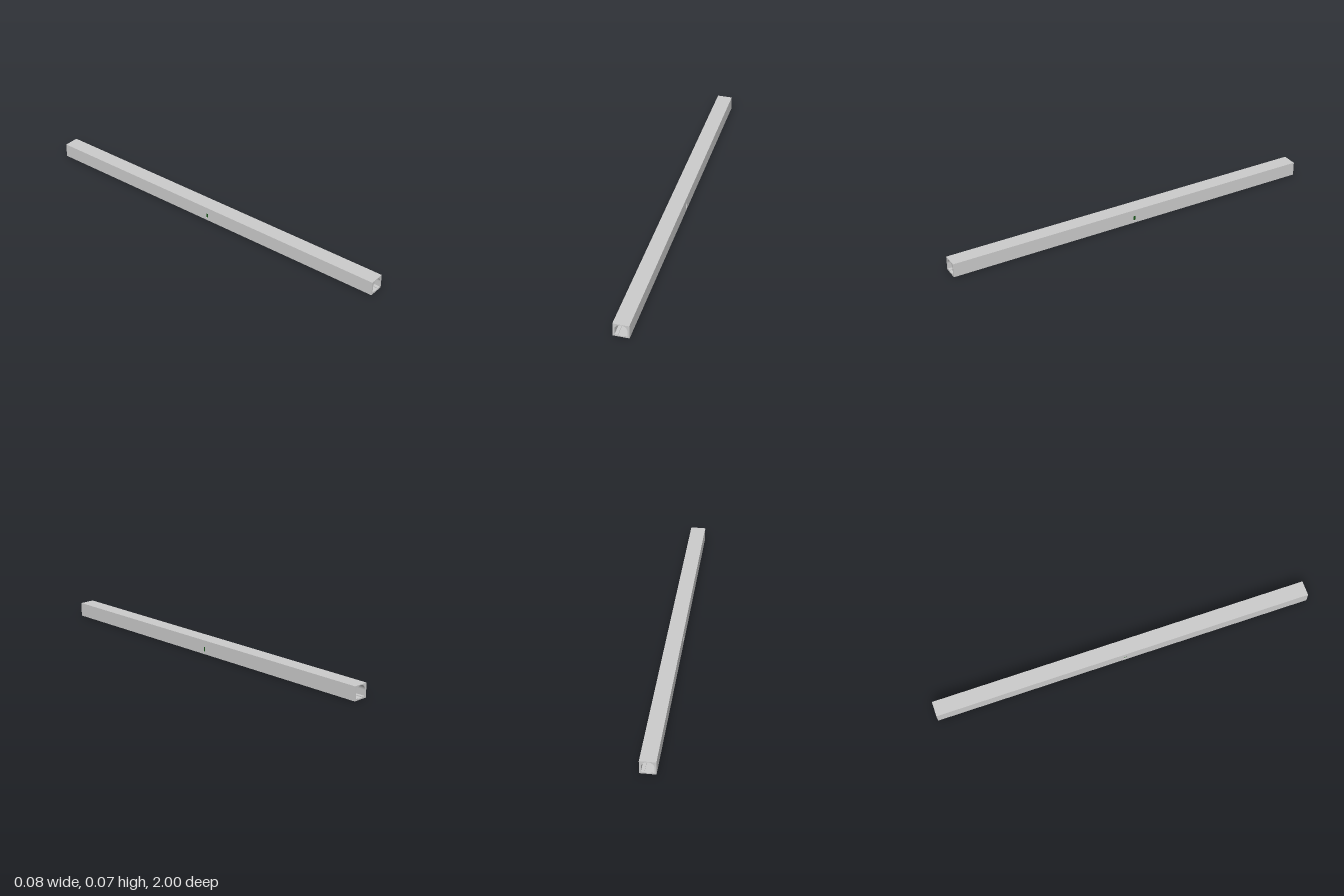
import * as THREE from 'three';

const HALF = 1, W = 0.04, H = 0.073;        // half length, outer half width, height
const R = 0.0312, SPRING = 0.0388;          // bore radius and height where the arch starts
const WALK = 0.0098, BED = 0.0063, STEP = 0.015; // walkway height, bed height, bed half width
const DOOR_W = 0.008, DOOR_TOP = 0.0385, DOOR_BOTTOM = 0.0115;

const concrete = new THREE.MeshStandardMaterial({ color: 0xcccccc });
const green = new THREE.MeshStandardMaterial({ color: 0x1c5a1c });

export function createModel() {
  const model = new THREE.Group();
  const add = (name, geometry, material = concrete) => {
    const mesh = new THREE.Mesh(geometry, material);
    mesh.name = name;
    model.add(mesh);
    return mesh;
  };

  // Flat strip along z between two profile points; its front lies left of a -> b
  const strip = (name, [ax, ay], [bx, by]) => {
    const g = new THREE.PlaneGeometry(2 * HALF, Math.hypot(bx - ax, by - ay));
    const dir = new THREE.Vector3(bx - ax, by - ay, 0).normalize();
    const normal = new THREE.Vector3(-dir.y, dir.x, 0);
    const along = new THREE.Vector3().crossVectors(dir, normal);
    g.applyMatrix4(new THREE.Matrix4().makeBasis(along, dir, normal));
    g.translate((ax + bx) / 2, (ay + by) / 2, 0);
    add(name, g);
  };

  // Outer roof and underside
  strip('roof', [-W, H], [W, H]);
  strip('underside', [W, 0], [-W, 0]);

  // Stepped floor: raised walkways beside a lower track bed
  strip('trackBed', [-STEP, BED], [STEP, BED]);
  strip('leftKerb', [STEP, BED], [STEP, WALK]);
  strip('rightKerb', [-STEP, WALK], [-STEP, BED]);
  strip('leftWalkway', [STEP, WALK], [R, WALK]);
  strip('rightWalkway', [-R, WALK], [-STEP, WALK]);

  // Smooth vault, a half cylinder turned inside out
  const vault = new THREE.CylinderGeometry(R, R, 2 * HALF, 40, 1, true, -Math.PI / 2, Math.PI);
  vault.rotateX(-Math.PI / 2).translate(0, SPRING, 0);
  const index = vault.index.array;
  for (let i = 0; i < index.length; i += 3) [index[i], index[i + 1]] = [index[i + 1], index[i]];
  const normals = vault.attributes.normal;
  for (let i = 0; i < normals.count; i++) {
    normals.setXYZ(i, -normals.getX(i), -normals.getY(i), 0);
  }
  // Keep the arch on the upper side
  if (vault.attributes.position.array.every((v, i) => i % 3 !== 1 || v <= SPRING + 1e-6)) {
    vault.translate(0, -SPRING, 0).rotateZ(Math.PI).translate(0, SPRING, 0);
  }
  add('vault', vault);

  // Portal faces with the bore cut out
  const portal = new THREE.Shape([[-W, 0], [W, 0], [W, H], [-W, H]].map(p => new THREE.Vector2(...p)));
  const bore = new THREE.Path();
  bore.moveTo(-R, WALK).lineTo(-STEP, WALK).lineTo(-STEP, BED);
  bore.lineTo(STEP, BED).lineTo(STEP, WALK).lineTo(R, WALK).lineTo(R, SPRING);
  bore.absarc(0, SPRING, R, 0, Math.PI, false);
  bore.closePath();
  portal.holes.push(bore);
  add('frontPortal', new THREE.ShapeGeometry(portal, 40).translate(0, 0, HALF));
  add('backPortal', new THREE.ShapeGeometry(portal, 40).rotateY(Math.PI).translate(0, 0, -HALF));

  // Wall face with a door opening
  const wallFace = (bottom, top) => {
    const s = new THREE.Shape([[-HALF, bottom], [HALF, bottom], [HALF, top], [-HALF, top]]
      .map(p => new THREE.Vector2(...p)));
    s.holes.push(new THREE.Path([[-DOOR_W, DOOR_BOTTOM], [-DOOR_W, DOOR_TOP], [DOOR_W, DOOR_TOP],
      [DOOR_W, DOOR_BOTTOM]].map(p => new THREE.Vector2(...p))));
    return new THREE.ShapeGeometry(s);
  };

  const doorH = DOOR_TOP - DOOR_BOTTOM, doorY = (DOOR_TOP + DOOR_BOTTOM) / 2;
  const depth = W - R, mid = (W + R) / 2;
  for (const [side, s] of [['left', 1], ['right', -1]]) {
    const turn = s * Math.PI / 2;
    add(side + 'OuterWall', wallFace(0, H).rotateY(turn).translate(s * W, 0, 0));
    add(side + 'InnerWall', wallFace(WALK, SPRING).rotateY(-turn).translate(s * R, 0, 0));

    // Lining of the door recess
    for (const e of [1, -1]) {
      add(side + 'DoorJamb', new THREE.PlaneGeometry(depth, doorH)
        .rotateY(e > 0 ? Math.PI : 0).translate(s * mid, doorY, e * DOOR_W));
      add(side + (e > 0 ? 'DoorLintel' : 'DoorSill'), new THREE.PlaneGeometry(depth, 2 * DOOR_W)
        .rotateX(e * Math.PI / 2).translate(s * mid, e > 0 ? DOOR_TOP : DOOR_BOTTOM, 0));
    }

    // Door set near the inner face, with a push bar inside
    add(side + 'Door', new THREE.BoxGeometry(0.002, doorH, 2 * DOOR_W)
      .translate(s * (R + 0.001), doorY, 0), green);
    add(side + 'DoorBar', new THREE.BoxGeometry(0.0006, 0.0015, 0.011)
      .translate(s * (R - 0.0003), 0.026, 0), green);
  }
  return model;
}
